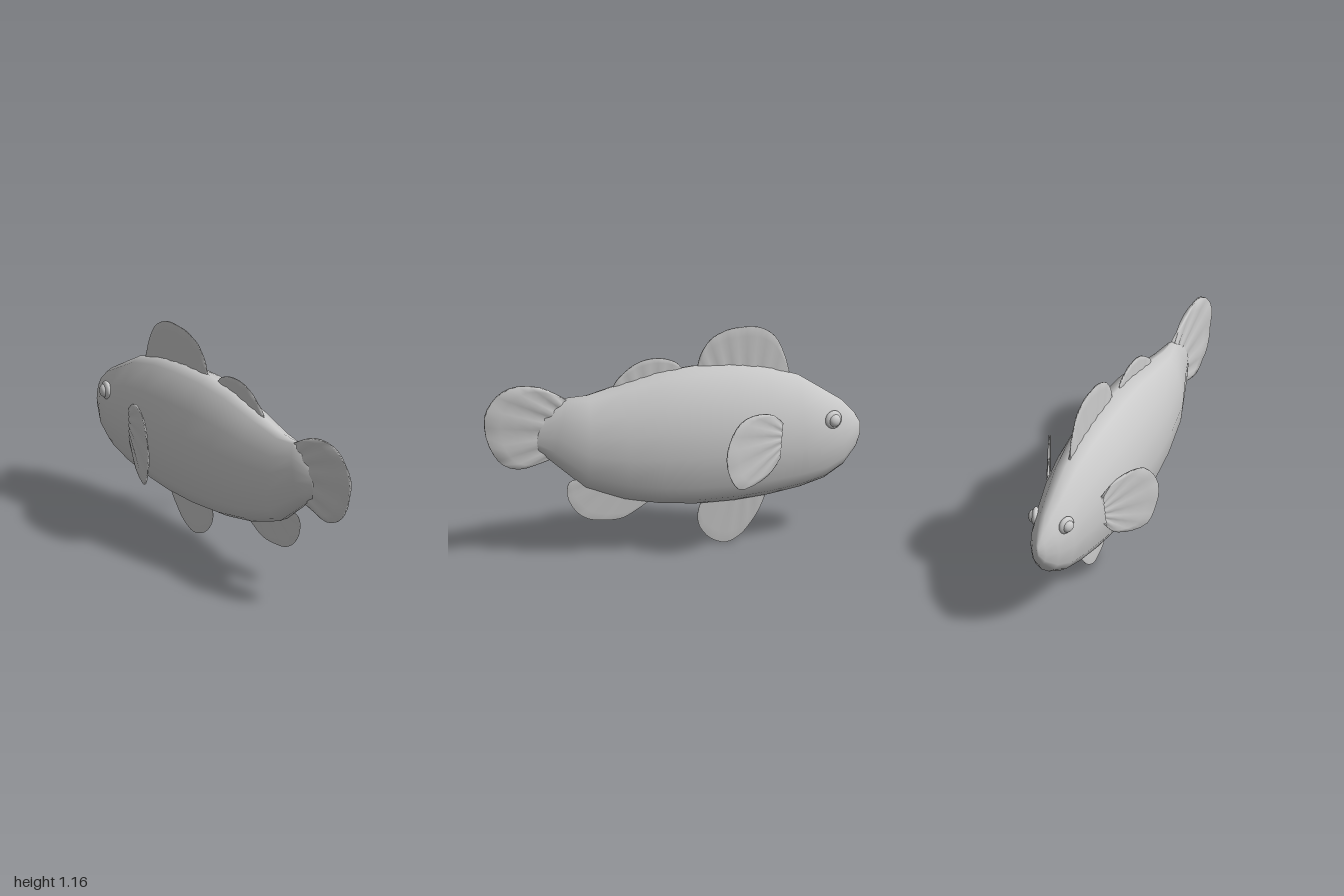
import * as THREE from 'three';

const skin = new THREE.MeshStandardMaterial({ color: 0xcccccc });
const finSkin = new THREE.MeshStandardMaterial({ color: 0xcccccc, side: THREE.DoubleSide });

// Joins rows of points into one smooth surface; wrap closes each row into a ring
function skinRows(rows, wrap) {
  const n = rows[0].length;
  const index = [];
  for (let i = 0; i < rows.length - 1; i++) {
    for (let j = 0; j < (wrap ? n : n - 1); j++) {
      const k = (j + 1) % n;
      const a = i * n + j, b = i * n + k, c = a + n, d = b + n;
      index.push(a, b, c, b, d, c);
    }
  }
  const geo = new THREE.BufferGeometry();
  geo.setAttribute('position', new THREE.Float32BufferAttribute(rows.flat(2), 3));
  geo.setIndex(index);
  geo.computeVertexNormals();
  return geo;
}

// Body: stations of [top x, top y, bottom x, bottom y, half width]
function makeBody() {
  const stations = [
    [-1, 0.565, -1, 0.555, 0.001], [-0.997, 0.59, -0.997, 0.52, 0.012],
    [-0.97, 0.64, -0.97, 0.455, 0.04], [-0.9, 0.72, -0.9, 0.37, 0.085],
    [-0.8, 0.79, -0.8, 0.31, 0.12], [-0.67, 0.88, -0.67, 0.275, 0.147],
    [-0.5, 0.94, -0.5, 0.25, 0.172], [-0.32, 0.97, -0.32, 0.237, 0.188],
    [-0.12, 0.98, -0.12, 0.237, 0.187], [0.07, 0.965, 0.07, 0.255, 0.176],
    [0.26, 0.92, 0.26, 0.295, 0.151], [0.45, 0.872, 0.47, 0.375, 0.112],
    [0.56, 0.868, 0.65, 0.535, 0.055], [0.69, 0.765, 0.73, 0.61, 0.016],
    [0.715, 0.7, 0.72, 0.66, 0.001],
  ];
  // Half cross-section as [width, height], fuller towards the belly
  const half = [[0.37, 0.93], [0.75, 0.55], [0.93, 0.2], [1, -0.2], [0.87, -0.66], [0.6, -0.88], [0.24, -1]];
  const ring = [[0, 1], ...half, ...half.map(([w, h]) => [-w, h]).reverse()];
  const rows = stations.map(([xt, yt, xb, yb, hw]) => ring.map(([w, h]) => {
    const t = (1 - h) / 2;
    return [xt + (xb - xt) * t, yt + (yb - yt) * t, w * hw];
  }));
  return skinRows(rows, true);
}

// Fin: fans from a straight root to a rounded rim (clockwise), ribbed on both faces
function makeFin(root, rim, ribs, thick) {
  const curve = new THREE.CatmullRomCurve3(rim.map(([x, y]) => new THREE.Vector3(x, y, 0)));
  const across = ribs * 4, steps = 5, rows = [];
  for (let i = 0; i <= across; i++) {
    const u = i / across;
    const p = curve.getPoint(u);
    const rx = root[0][0] + (root[1][0] - root[0][0]) * u;
    const ry = root[0][1] + (root[1][1] - root[0][1]) * u;
    const rib = 0.45 + 0.55 * Math.abs(Math.cos(Math.PI * ribs * u));
    const face = side => Array.from({ length: steps + 1 }, (_, j) => {
      const v = j / steps;
      const h = thick * rib * (1 - 0.45 * v);
      return [rx + (p.x - rx) * v, ry + (p.y - ry) * v, side * h];
    });
    rows.push([...face(-1), ...face(1).reverse()]);
  }
  return skinRows(rows, false);
}

export function createModel() {
  const group = new THREE.Group();
  const add = (name, geo, material, x = 0, y = 0, z = 0) => {
    const mesh = new THREE.Mesh(geo, material);
    mesh.name = name;
    mesh.position.set(x, y, z);
    group.add(mesh);
    return mesh;
  };

  add('body', makeBody(), skin);

  // Fins along the middle
  add('frontDorsalFin', makeFin([[-0.63, 0.87], [-0.13, 0.95]],
    [[-0.63, 0.87], [-0.6, 0.99], [-0.55, 1.1], [-0.47, 1.157], [-0.37, 1.168], [-0.28, 1.155],
      [-0.2, 1.11], [-0.15, 1.03], [-0.13, 0.95]], 7, 0.009), finSkin);
  add('rearDorsalFin', makeFin([[-0.07, 0.94], [0.33, 0.87]],
    [[-0.07, 0.94], [-0.03, 1.0], [0.03, 1.03], [0.1, 1.04], [0.18, 1.025], [0.25, 0.98],
      [0.3, 0.93], [0.33, 0.87]], 6, 0.009), finSkin);
  add('tailFin', makeFin([[0.55, 0.85], [0.62, 0.55]],
    [[0.55, 0.85], [0.62, 0.895], [0.7, 0.935], [0.82, 0.955], [0.9, 0.93], [0.96, 0.88], [0.997, 0.8],
      [0.99, 0.69], [0.95, 0.59], [0.9, 0.53], [0.82, 0.5], [0.72, 0.515], [0.62, 0.55]], 6, 0.018), finSkin);
  add('pelvicFin', makeFin([[-0.16, 0.28], [-0.5, 0.28]],
    [[-0.16, 0.28], [-0.127, 0.17], [-0.14, 0.1], [-0.2, 0.03], [-0.28, 0.004], [-0.35, 0.035],
      [-0.41, 0.1], [-0.46, 0.18], [-0.5, 0.28]], 6, 0.004), finSkin, 0, 0, -0.03);
  add('analFin', makeFin([[0.5, 0.43], [0.08, 0.3]],
    [[0.5, 0.43], [0.555, 0.41], [0.565, 0.34], [0.52, 0.25], [0.45, 0.2], [0.35, 0.185], [0.27, 0.19],
      [0.2, 0.225], [0.08, 0.3]], 6, 0.004), finSkin, 0, 0, -0.03);

  // Side fins (hinged at their root) and eyes
  const pectoral = makeFin([[0, 0.67], [0.02, 0.48]],
    [[0, 0.67], [0.06, 0.725], [0.16, 0.75], [0.26, 0.74], [0.325, 0.68], [0.363, 0.6], [0.363, 0.5],
      [0.325, 0.41], [0.28, 0.367], [0.16, 0.38], [0.07, 0.42], [0.02, 0.48]], 6, 0.011);
  for (const s of [1, -1]) {
    const side = s > 0 ? 'left' : 'right';
    const fin = add(side + 'PectoralFin', pectoral, finSkin, s > 0 ? -0.565 : -0.545, s > 0 ? 0 : 0.015, s * 0.16);
    fin.rotation.y = -s * 0.44;

    const eye = new THREE.Group();
    eye.name = side + 'Eye';
    const socket = new THREE.Mesh(new THREE.SphereGeometry(0.05, 16, 10).scale(1, 1, 0.45), skin);
    socket.name = 'eyelid';
    const ball = new THREE.Mesh(new THREE.SphereGeometry(0.034, 14, 10).scale(1, 1, 0.75), skin);
    ball.name = 'eyeball';
    ball.position.z = 0.013;
    eye.add(socket, ball);
    eye.position.set(-0.835, 0.645, s * 0.088);
    eye.rotation.y = s > 0 ? -0.35 : Math.PI + 0.35;
    group.add(eye);
  }
  return group;
}
